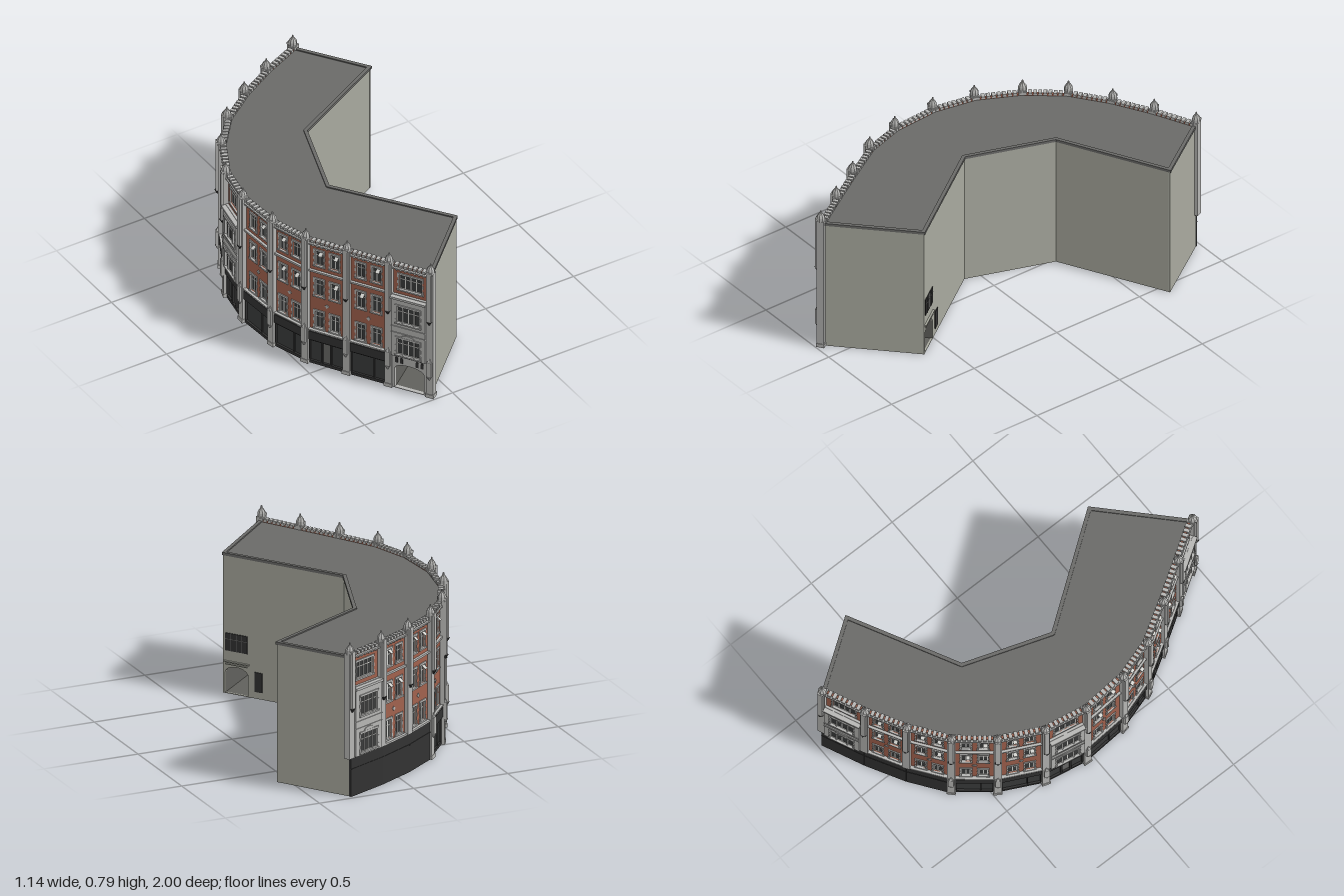
import * as THREE from 'three';
import { mergeGeometries } from 'three/addons/utils/BufferGeometryUtils.js';

const mat = (name, color, side = THREE.FrontSide) => {
  const m = new THREE.MeshStandardMaterial({ color, side });
  m.name = name;
  return m;
};

export function createModel() {
  const M = {
    brick: mat('brick', 0xa0614d),
    stone: mat('stone', 0xb6b6b4),
    render: mat('wall render', 0xa8a99e),
    roof: mat('roof grey', 0x6a6a68),
    shop: mat('shopfront black', 0x323232),
    glass: mat('glass', 0x3a3b3b, THREE.DoubleSide),
    frame: mat('window frame', 0xd4d4d0),
    door: mat('door grey', 0x686866),
    passage: mat('passage grey', 0x60605c, THREE.DoubleSide),
  };
  const model = new THREE.Group();
  model.name = 'curvedBuilding';

  // Plan: street corners of the curved front, then the courtyard corners (x, z)
  const P = [[-0.1, 0.965], [-0.22, 0.78], [-0.34, 0.59], [-0.455, 0.4], [-0.518, 0.2], [-0.535, -0.04],
    [-0.495, -0.26], [-0.39, -0.47], [-0.25, -0.64], [-0.07, -0.77], [0.12, -0.875], [0.33, -0.97]];
  const C = [[0.56, -0.64], [0.02, -0.36], [-0.13, 0.08], [0.26, 0.62]];
  const ring = [...P, ...C];

  // Group lying on edge a-b: local x runs from b to a, local z points outward.
  // Solids are collected by part and merged in finish().
  function section(name, a, b) {
    const g = new THREE.Group(), parts = {};
    g.name = name;
    g.position.set((a[0] + b[0]) / 2, 0, (a[1] + b[1]) / 2);
    g.rotation.y = Math.atan2(b[1] - a[1], a[0] - b[0]);
    model.add(g);
    const add = (part, m, geo) => {
      const flat = geo.index ? geo.toNonIndexed() : geo;
      flat.computeVertexNormals();
      flat.clearGroups();
      (parts[part] ??= { m, geos: [] }).geos.push(flat);
    };
    return {
      L: Math.hypot(a[0] - b[0], a[1] - b[1]), add,
      box: (part, m, w, h, d, x, y, z) => add(part, m, new THREE.BoxGeometry(w, h, d).translate(x, y, z)),
      // wall plate with holes, from z - depth to z
      plate: (part, m, x0, x1, y0, y1, depth, z, holes = []) => {
        const s = new THREE.Shape(rect(x0, x1, y0, y1));
        s.holes = holes.map((h) => new THREE.Path(h));
        add(part, m, new THREE.ExtrudeGeometry(s, { depth, bevelEnabled: false }).translate(0, 0, z - depth));
      },
      finish: () => {
        for (const [part, { m, geos }] of Object.entries(parts)) {
          const mesh = new THREE.Mesh(mergeGeometries(geos), m);
          mesh.name = part;
          g.add(mesh);
        }
      },
    };
  }
  const rect = (x0, x1, y0, y1) => [[x0, y0], [x1, y0], [x1, y1], [x0, y1]].map((p) => new THREE.Vector2(...p));
  // Segmental arch opening
  const arch = (x, half, spring, top) => {
    const pts = [new THREE.Vector2(x - half, 0.003), new THREE.Vector2(x + half, 0.003)];
    for (let i = 0; i <= 10; i++) {
      const t = (i / 10) * Math.PI;
      pts.push(new THREE.Vector2(x + half * Math.cos(t), spring + (top - spring) * Math.sin(t)));
    }
    return pts;
  };

  // Casement window with glazing bars and a quoined stone surround
  function windowUnit(s, x, y0, y1, w, lights, z, open) {
    const h = y1 - y0, cy = (y0 + y1) / 2;
    s.box('windowGlass', M.glass, w, h, 0.002, x, cy, z - 0.008);
    for (let i = 0; i <= lights; i++) {
      const edge = i === 0 || i === lights;
      s.box('windowFrame', M.frame, edge ? 0.004 : 0.005, h, 0.006, x + (i / lights - 0.5) * (w - 0.003), cy, z - 0.008);
    }
    for (const y of [y0 + 0.002, y0 + h * 0.68, y1 - 0.002]) s.box('windowFrame', M.frame, w, 0.004, 0.006, x, y, z - 0.008);
    s.box('windowSurround', M.stone, w + 0.022, 0.008, 0.014, x, y0 - 0.004, z);
    s.box('windowSurround', M.stone, w + 0.018, 0.011, 0.01, x, y1 + 0.005, z);
    for (const k of [-1, 1]) for (let i = 0; i < 5; i++) {
      const q = i % 2 ? 0.005 : 0.009;
      s.box('windowSurround', M.stone, q, h / 5, 0.008, x + k * (w + q) / 2, y0 + (i + 0.5) * h / 5, z);
    }
    // top-hung light standing open
    if (open) s.add('openLight', M.frame, new THREE.BoxGeometry(w * 0.46, 0.002, h * 0.3)
      .rotateX(0.6).translate(x + w * 0.24, y1 - h * 0.14, z + 0.006));
  }

  const floors = [[0.215, 0.31], [0.405, 0.5], [0.585, 0.67]];
  for (let i = 0; i < 11; i++) {
    const s = section('facadeBay' + (i + 1), P[i], P[i + 1]);
    const H = s.L / 2, feature = i % 5 === 0, holes = [];
    // Upper floors
    floors.forEach(([y0, y1], f) => {
      if (feature) {
        const top = f === 2;
        if (top) holes.push(rect(-0.06, 0.06, y0, y1));
        windowUnit(s, 0, y0, y1, 0.12, 4, top ? 0 : 0.028, false);
        if (!top) s.box('bayMullion', M.stone, 0.007, y1 - y0, 0.008, 0.03, (y0 + y1) / 2, 0.024);
        if (!top) s.box('bayMullion', M.stone, 0.007, y1 - y0, 0.008, -0.03, (y0 + y1) / 2, 0.024);
      } else for (const k of [-1, 1]) {
        holes.push(rect(k * 0.042 - 0.022, k * 0.042 + 0.022, y0, y1));
        windowUnit(s, k * 0.042, y0, y1, 0.044, 2, 0, f > 0 && (i + f + (k > 0 ? 1 : 0)) % 3 > 0);
      }
    });
    s.plate('brickWall', M.brick, -H, H, 0.195, 0.722, 0.015, 0, holes);
    if (feature) {
      // Projecting stone bay
      const B = H - 0.02;
      s.plate('stoneBay', M.stone, -B, B, 0.2, 0.545, 0.028, 0.028,
        floors.slice(0, 2).map(([a, b]) => rect(-0.06, 0.06, a, b)));
      for (const y of [0.342, 0.378]) s.box('bayMoulding', M.stone, 2 * B, 0.004, 0.005, 0, y, 0.029);
      s.add('bayMoulding', M.stone, new THREE.CylinderGeometry(0.035, 0.035, 0.006, 12, 1, false, Math.PI / 2, Math.PI)
        .rotateX(Math.PI / 2).scale(1, 0.5, 1).translate(0, 0.32, 0.029));
      s.box('bayCornice', M.stone, 2 * B + 0.006, 0.012, 0.036, 0, 0.546, 0.018);
    } else {
      s.add('diamondOrnament', M.stone, new THREE.BoxGeometry(0.016, 0.016, 0.008).rotateZ(Math.PI / 4).translate(0, 0.356, 0));
    }
    // String courses and the battlemented parapet
    s.box('stringCourse', M.stone, s.L, 0.01, 0.02, 0, 0.55, 0.003);
    s.box('stringCourse', M.stone, s.L, 0.007, 0.03, 0, 0.2, 0.002);
    s.box('parapetCornice', M.stone, s.L, 0.007, 0.024, 0, 0.708, 0.002);
    for (let k = 0; k < 9; k++) {
      const x = -H + (k + 0.5) * s.L / 9;
      s.box('parapetCoping', M.stone, s.L / 13, 0.014, 0.03, x, 0.724, -0.004);
      s.box('dentils', M.stone, s.L / 22, 0.008, 0.014, x, 0.7, 0.002);
    }
    // Ground floor: carriage arch, shopfronts or a plain dark wall
    if (i === 0) {
      s.plate('archWall', M.stone, -H, H, 0, 0.2, 0.02, 0.012, [arch(0, 0.078, 0.115, 0.145)]);
      for (const x of [-0.068, -0.042, 0.042, 0.068]) {
        s.box('tracery', M.shop, 0.014, 0.026, 0.004, x, 0.166, 0.0125);
        s.add('tracery', M.shop, new THREE.CylinderGeometry(0.007, 0.007, 0.004, 8).rotateX(Math.PI / 2).translate(x, 0.179, 0.0125));
      }
    } else if (i >= 8) {
      s.box('plainShopWall', M.shop, s.L, 0.196, 0.03, 0, 0.098, 0);
      s.box('plainShopWall', M.shop, s.L, 0.005, 0.034, 0, 0.14, 0);
    } else {
      const E = H - 0.024;
      const panes = i === 2 || i === 5 ? [[-E, -0.028], [-0.02, 0.02, 1], [0.028, E]] : [[-E, E]];
      const cut = panes.map(([a, b]) => rect(a, b, 0.016, 0.134));
      s.plate('shopLining', M.stone, -H, H, 0, 0.196, 0.009, -0.006, cut);
      s.plate('shopFrame', M.shop, -H, H, 0, 0.196, 0.014, 0.008, cut);
      s.box('shopFascia', M.shop, 2 * E + 0.01, 0.05, 0.012, 0, 0.167, 0.01);
      for (const [a, b, door] of panes) {
        s.box(door ? 'shopDoor' : 'shopGlass', door ? M.door : M.glass, b - a, 0.12, 0.003, (a + b) / 2, 0.075, -0.004);
        if (!door && b - a > 0.1) s.box('shopMullion', M.shop, 0.005, 0.12, 0.008, (a + b) / 2 + 0.03, 0.075, 0);
      }
    }
    s.finish();
  }

  // Pilasters with corbelled shafts and pointed finials
  const finial = [[0.021, 0.728], [0.021, 0.752], [0.017, 0.762], [0.009, 0.773], [0.004, 0.779], [0.004, 0.787], [0, 0.79]]
    .map((p) => new THREE.Vector2(...p));
  P.forEach((p, i) => {
    const a = P[Math.max(i - 1, 0)], b = P[Math.min(i + 1, 11)];
    const dx = (a[0] - b[0]) / 2, dz = (a[1] - b[1]) / 2;
    const s = section('pilaster' + (i + 1), [p[0] + dx, p[1] + dz], [p[0] - dx, p[1] - dz]);
    const y0 = i > 8 ? 0.196 : 0;
    s.box('shaft', M.stone, 0.038, 0.735 - y0, 0.036, 0, (0.735 + y0) / 2, 0.002);
    s.box('upperShaft', M.stone, 0.024, 0.29, 0.016, 0, 0.6, 0.024);
    s.box('upperShaftCap', M.stone, 0.03, 0.012, 0.022, 0, 0.74, 0.02);
    s.add('corbel', M.shop, new THREE.CylinderGeometry(0.016, 0.004, 0.02, 6).translate(0, 0.445, 0.022));
    if (i <= 8) {
      s.box('lowerShaft', M.stone, 0.026, 0.085, 0.014, 0, 0.17, 0.024);
      s.add('lowerShaftTip', M.stone, new THREE.ConeGeometry(0.013, 0.024, 4).rotateY(Math.PI / 4).translate(0, 0.224, 0.021));
      s.add('lowerCorbel', M.stone, new THREE.CylinderGeometry(0.014, 0.004, 0.02, 6).translate(0, 0.118, 0.022));
      s.box('plinth', M.stone, 0.044, 0.02, 0.042, 0, 0.01, 0.002);
    }
    s.add('finial', M.stone, new THREE.LatheGeometry(finial, 8).translate(0, 0, 0.006));
    s.finish();
  });

  // Rendered end and courtyard walls
  for (let i = 11; i < 16; i++) {
    const s = section('rearWall' + (i - 10), ring[i], ring[(i + 1) % 16]);
    const H = s.L / 2, gate = i === 14, ax = -H + 0.074;
    s.plate('renderedWall', M.render, -H, H, 0, 0.706, 0.01, 0, gate ? [arch(ax, 0.064, 0.105, 0.14)] : []);
    s.box('wallCoping', M.roof, s.L + 0.008, 0.014, 0.018, 0, 0.712, -0.004);
    if (gate) {
      s.box('gateMoulding', M.render, 0.14, 0.006, 0.012, ax, 0.165, 0.004);
      s.box('gateMoulding', M.render, 0.12, 0.005, 0.008, ax, 0.152, 0.003);
      s.box('courtyardWindow', M.shop, 0.122, 0.09, 0.006, ax, 0.265, 0.001);
      for (const k of [-1, 0, 1]) s.box('windowBars', M.door, 0.003, 0.09, 0.008, ax + k * 0.03, 0.265, 0.001);
      s.box('windowBars', M.door, 0.122, 0.003, 0.008, ax, 0.28, 0.001);
      s.box('courtyardDoor', M.shop, 0.042, 0.1, 0.006, -H + 0.195, 0.085, 0.001);
    }
    s.finish();
  }

  // Carriage passage running from the street arch to the courtyard arch
  const mix = (a, b, t) => [a[0] + (b[0] - a[0]) * t, a[1] + (b[1] - a[1]) * t];
  const ends = [[mix(P[0], P[1], 0.15), mix(P[0], P[1], 0.85)], [mix(C[3], C[2], 0.016), mix(C[3], C[2], 0.207)]];
  const pos = ends.flatMap(([a, b]) => [[a, 0.002], [b, 0.002], [b, 0.147], [a, 0.147]].flatMap(([q, y]) => [q[0], y, q[1]]));
  const idx = [0, 1, 2, 3].flatMap((k) => { const n = (k + 1) % 4; return [k, k + 4, n, n, k + 4, n + 4]; });
  let tube = new THREE.BufferGeometry();
  tube.setAttribute('position', new THREE.Float32BufferAttribute(pos, 3));
  tube.setIndex(idx);
  tube = tube.toNonIndexed();
  tube.computeVertexNormals();
  const passage = new THREE.Mesh(tube, M.passage);
  passage.name = 'carriagePassage';
  model.add(passage);

  // Flat roof
  const roofShape = new THREE.Shape(ring.map(([x, z]) => new THREE.Vector2(x, -z)));
  const roof = new THREE.Mesh(new THREE.ExtrudeGeometry(roofShape, { depth: 0.01, bevelEnabled: false })
    .rotateX(-Math.PI / 2).translate(0, 0.703, 0), M.roof);
  roof.name = 'flatRoof';
  model.add(roof);
  return model;
}
